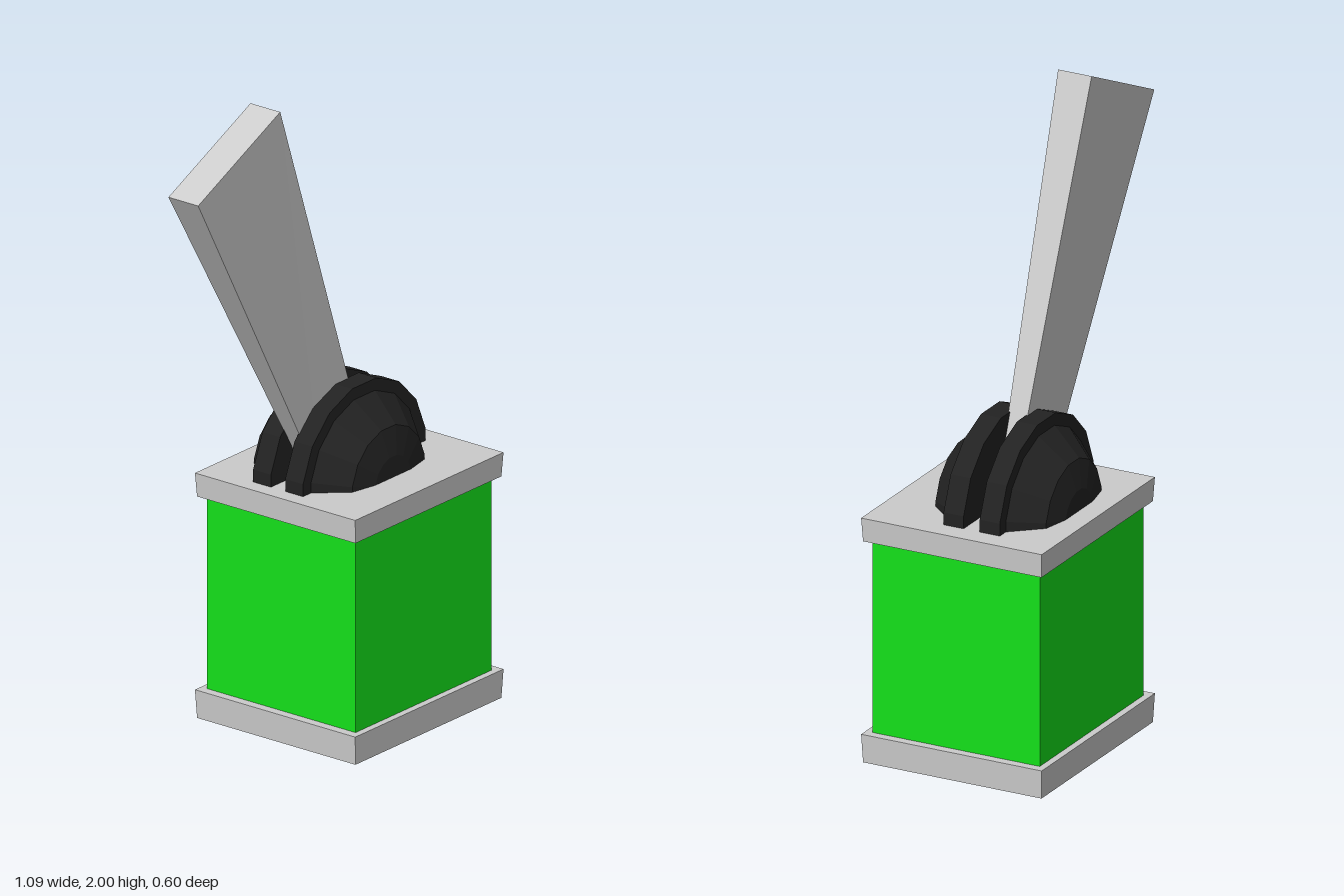
import * as THREE from 'three';

const CX = 0.196;   // x centre of the base
const CZ = -0.03;   // z plane the lever swings in

function material(color, side = THREE.FrontSide) {
  return new THREE.MeshStandardMaterial({ color, flatShading: true, side });
}

function addMesh(parent, name, geometry, mat) {
  const mesh = new THREE.Mesh(geometry, mat);
  mesh.name = name;
  parent.add(mesh);
  return mesh;
}

// Box whose bottom face is slightly smaller than its top
function plate(y0, y1) {
  const g = new THREE.BoxGeometry(0.696, y1 - y0, 0.604);
  const p = g.attributes.position;
  for (let i = 0; i < p.count; i++) {
    if (p.getY(i) < 0) p.setXYZ(i, p.getX(i) * 0.984, p.getY(i), p.getZ(i) * 0.988);
  }
  g.translate(CX, (y0 + y1) / 2, 0);
  g.computeVertexNormals();
  return g;
}

// Lever: box with corners moved so it leans, and widens and thickens upward
function leverGeometry() {
  const g = new THREE.BoxGeometry(2, 2, 2);
  const p = g.attributes.position;
  for (let i = 0; i < p.count; i++) {
    const right = p.getX(i) > 0, top = p.getY(i) > 0;
    const half = top ? 0.056 : 0.0245;
    const x = top ? (right ? -0.16 : -0.545) : (right ? 0.3 : 0.074);
    const y = top ? (right ? 2 : 1.822) : 0.74;
    p.setXYZ(i, x, y, CZ + Math.sign(p.getZ(i)) * half);
  }
  g.computeVertexNormals();
  return g;
}

// Half disc with a rim and a domed outer side, axis along z
function hubGeometry() {
  const profile = [[0, 0.027], [0.293, 0.027], [0.293, 0.094], [0.255, 0.094],
    [0.173, 0.185], [0.085, 0.203], [0, 0.203]].map(([r, h]) => new THREE.Vector2(r, h));
  const step = Math.PI / 8;
  const g = new THREE.LatheGeometry(profile, 9, Math.PI / 2 - step / 2, 9 * step);
  return g.rotateX(Math.PI / 2);
}

export function createModel() {
  const model = new THREE.Group();
  model.name = 'leverSwitch';
  const grey = material(0xcccccc);

  // Base
  addMesh(model, 'bottomPlate', plate(0, 0.09), grey);
  const body = new THREE.BoxGeometry(0.638, 0.63, 0.56).translate(CX, 0.395, 0);
  addMesh(model, 'body', body, material(0x14e01a));
  addMesh(model, 'topPlate', plate(0.7, 0.775), grey);

  // Two mirrored hub halves either side of the lever
  const black = material(0x222222, THREE.DoubleSide);
  const hub = hubGeometry();
  for (const s of [1, -1]) {
    const half = addMesh(model, s > 0 ? 'frontHub' : 'backHub', hub, black);
    half.position.set(0.187, 0.757, CZ);
    half.scale.z = s;
  }

  addMesh(model, 'lever', leverGeometry(), grey);
  return model;
}
